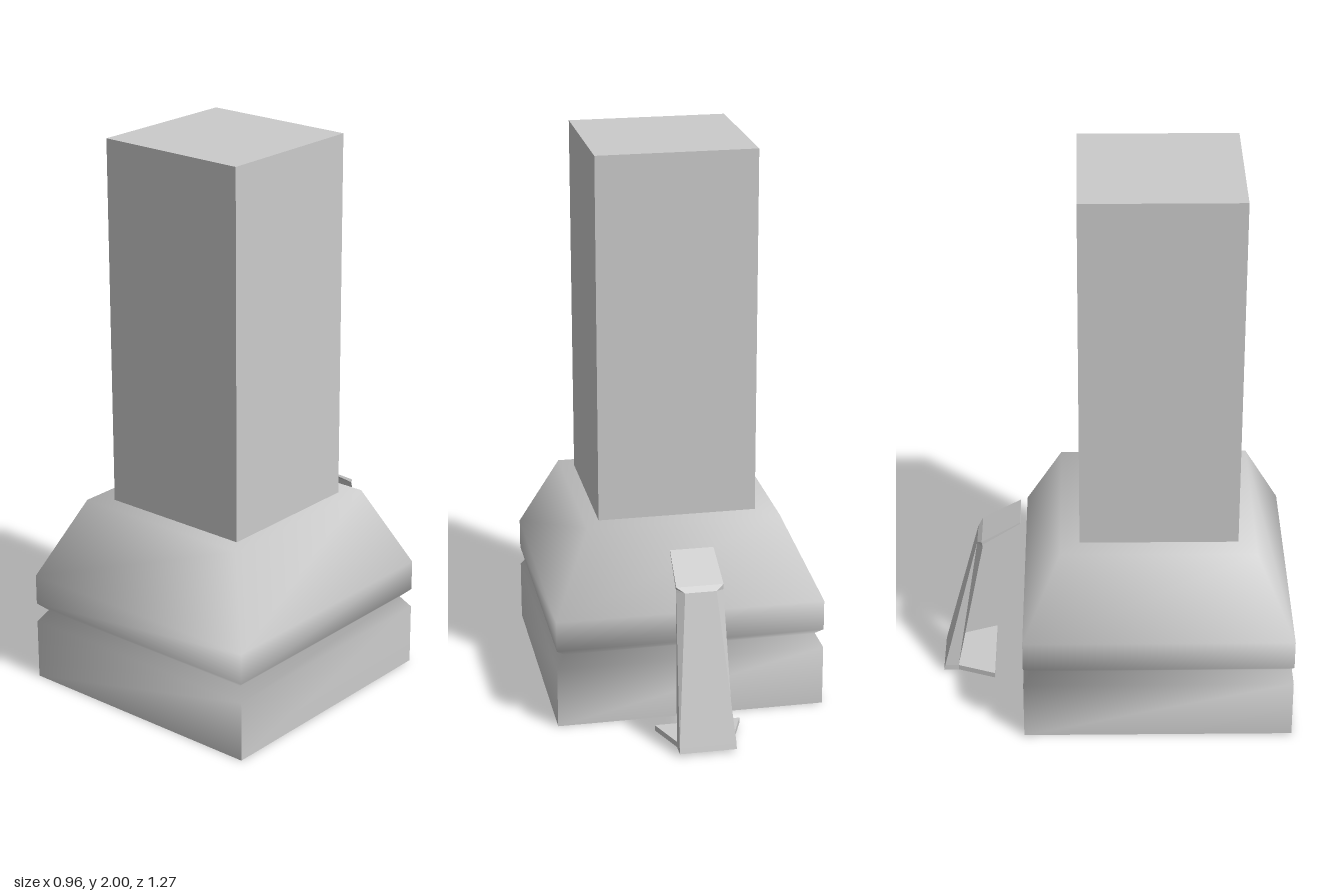
import * as THREE from 'three';

const material = new THREE.MeshStandardMaterial({ color: 0xcccccc });
const CORNERS = [[1, 1], [1, -1], [-1, -1], [-1, 1]];

function makeGeometry(positions, index) {
  const geometry = new THREE.BufferGeometry();
  geometry.setAttribute('position', new THREE.Float32BufferAttribute(positions, 3));
  geometry.setIndex(index);
  return geometry;
}

function addMesh(parent, name, geometry) {
  const mesh = new THREE.Mesh(geometry, material);
  mesh.name = name;
  parent.add(mesh);
  return mesh;
}

// Square plinth from stacked rings [half width, y]; smooth except at the floor
function plinthGeometry(rings) {
  const positions = [], index = [];
  for (const [half, y] of rings)
    for (const [x, z] of CORNERS) positions.push(x * half, y, z * half);
  const addPoint = (k) => {
    positions.push(...positions.slice(k * 3, k * 3 + 3));
    return positions.length / 3 - 1;
  };
  for (let r = 0; r < rings.length - 1; r++) {
    for (let i = 0; i < 4; i++) {
      const j = (i + 1) % 4;
      let a = r * 4 + i, b = r * 4 + j;
      const c = (r + 1) * 4 + j, d = (r + 1) * 4 + i;
      if (r === 0) { a = addPoint(a); b = addPoint(b); } // hard lower corners
      index.push(a, b, c, a, c, d);
    }
  }
  const t = (rings.length - 1) * 4;
  index.push(t, t + 1, t + 2, t, t + 2, t + 3);
  index.push(0, 2, 1, 0, 3, 2);
  const geometry = makeGeometry(positions, index);
  geometry.computeVertexNormals();
  return geometry;
}

// Faceted strip lofted downwards; section: back [halfX, y, z], front [halfX, y, z]
function stripGeometry(sections) {
  const positions = [], index = [];
  for (const [back, front] of sections) {
    positions.push(-back[0], back[1], back[2], back[0], back[1], back[2]);
    positions.push(front[0], front[1], front[2], -front[0], front[1], front[2]);
  }
  for (let s = 0; s < sections.length - 1; s++) {
    for (let i = 0; i < 4; i++) {
      const j = (i + 1) % 4, a = s * 4, b = a + 4;
      index.push(a + j, b + j, b + i, a + j, b + i, a + i);
    }
  }
  const e = (sections.length - 1) * 4;
  index.push(0, 2, 1, 0, 3, 2, e, e + 1, e + 2, e, e + 2, e + 3);
  const geometry = makeGeometry(positions, index).toNonIndexed();
  geometry.computeVertexNormals();
  return geometry;
}

export function createModel() {
  const model = new THREE.Group();
  model.name = 'columnWithBracket';

  // Square shaft
  addMesh(model, 'shaft', new THREE.BoxGeometry(0.565, 1.32, 0.56)).position.set(0.012, 1.34, 0.155);

  // Grooved plinth with sloping shoulders
  addMesh(model, 'plinth', plinthGeometry([
    [0.48, 0], [0.48, 0.22], [0.45, 0.262], [0.48, 0.29], [0.48, 0.4], [0.345, 0.688],
  ])).position.z = 0.152;

  // Leaning bracket behind the plinth
  const bracket = new THREE.Group();
  bracket.name = 'bracket';
  bracket.position.x = 0.003;
  model.add(bracket);
  addMesh(bracket, 'bracketLegAndTab', stripGeometry([
    [[0.077, 0.646, -0.34], [0.077, 0.641, -0.339]],
    [[0.083, 0.566, -0.48], [0.083, 0.557, -0.474]],
    [[0.055, 0.549, -0.497], [0.083, 0.545, -0.477]],
    [[0.1, 0.03, -0.63], [0.1, 0.03, -0.58]],
    [[0.1, 0.01, -0.635], [0.1, 0.01, -0.58]],
  ]));
  addMesh(bracket, 'bracketFoot', stripGeometry([
    [[0.1, 0.03, -0.58], [0.152, 0.03, -0.443]],
    [[0.1, 0.01, -0.58], [0.152, 0.01, -0.443]],
  ]));

  return model;
}
